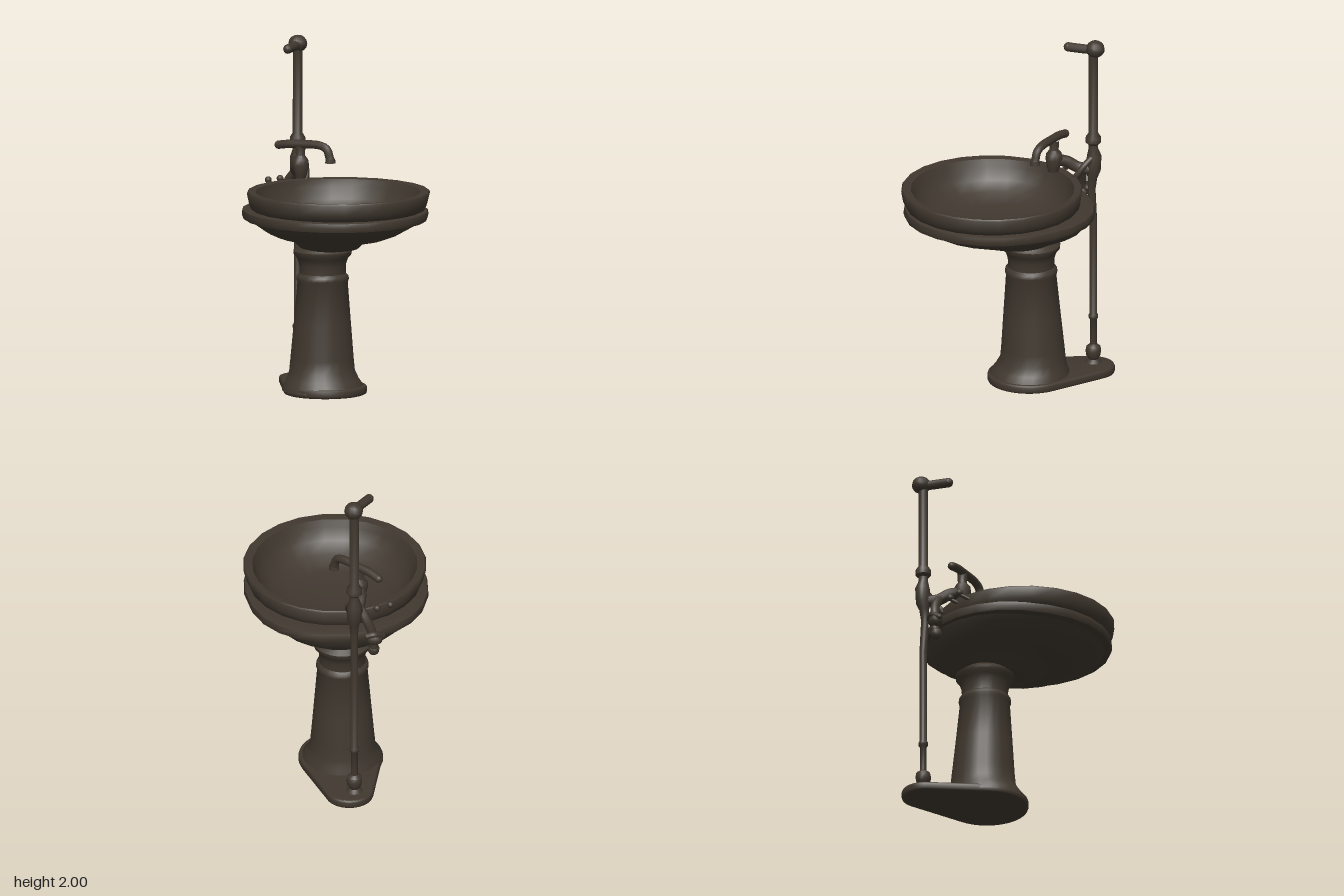
import * as THREE from 'three';
import { toCreasedNormals } from 'three/addons/utils/BufferGeometryUtils.js';

const iron = new THREE.MeshStandardMaterial({ color: 0x40382f });
iron.name = 'dark iron';

// Skin over stacked rounded rings: [y, centre z, radius x, radius z, roundness power]
function loft(rings, cx = 0, sides = 24, crease = 0.8) {
  const pos = [], idx = [];
  const bend = (v, p) => Math.sign(v) * Math.abs(v) ** (2 / p);
  for (const [y, cz, rx, rz = rx, p = 2] of rings) {
    for (let j = 0; j < sides; j++) {
      const a = (j / sides) * Math.PI * 2, s = Math.sin(a);
      const q = s < 0 ? p : 2; // only the back is squared off
      pos.push(cx + rx * bend(Math.cos(a), q), y, cz + rz * bend(s, q));
    }
  }
  for (let i = 0; i < rings.length - 1; i++) {
    for (let j = 0; j < sides; j++) {
      const k = (j + 1) % sides, a = i * sides + j, b = i * sides + k;
      idx.push(a, a + sides, b, b, a + sides, b + sides);
    }
  }
  const g = new THREE.BufferGeometry();
  g.setAttribute('position', new THREE.Float32BufferAttribute(pos, 3));
  g.setIndex(idx);
  return toCreasedNormals(g, crease);
}

export function createModel() {
  const model = new THREE.Group();
  model.name = 'drinkingFountain';

  const add = (name, geometry, parent = model) => {
    const m = new THREE.Mesh(geometry, iron);
    m.name = name;
    parent.add(m);
    return m;
  };
  const ball = (name, parent, p, r, s = [1, 1, 1]) => {
    const m = add(name, new THREE.SphereGeometry(r, 12, 8), parent);
    m.position.set(...p);
    m.scale.set(...s);
    return m;
  };
  // Bent round bar with rounded ends
  const bar = (name, parent, points, r) => {
    const pts = points.map(p => new THREE.Vector3(...p));
    const curve = new THREE.CatmullRomCurve3(pts, false, 'centripetal');
    add(name, new THREE.TubeGeometry(curve, 6 * points.length, r, 10), parent);
    ball(name + 'Start', parent, points[0], r);
    ball(name + 'End', parent, points[points.length - 1], r);
  };

  // Foot plate: wide round front tapering to a small round lobe at the back
  const foot = new THREE.Shape();
  const tilt = Math.asin((0.225 - 0.125) / 0.37);
  foot.absarc(0, 0.115, 0.225, Math.PI - tilt, Math.PI * 2 + tilt, false);
  foot.absarc(0, 0.485, 0.125, tilt, Math.PI - tilt, false);
  foot.closePath();
  const plate = new THREE.ExtrudeGeometry(foot, {
    depth: 0.025, bevelThickness: 0.012, bevelSize: 0.012, bevelSegments: 2, curveSegments: 14,
  });
  plate.rotateX(-Math.PI / 2).translate(0, 0.012, 0);
  add('footPlate', toCreasedNormals(plate, 0.8));

  // Pedestal with flared foot, waist collar and capital
  add('pedestal', loft([
    [0.02, -0.12, 0.235], [0.045, -0.12, 0.23], [0.085, -0.13, 0.205], [0.13, -0.14, 0.187],
    [0.2, -0.14, 0.18], [0.4, -0.135, 0.163], [0.64, -0.13, 0.143], [0.655, -0.13, 0.15],
    [0.675, -0.13, 0.147], [0.69, -0.13, 0.132], [0.74, -0.13, 0.133], [0.78, -0.13, 0.147],
    [0.8, -0.13, 0.165], [0.82, -0.13, 0.167], [0.832, -0.13, 0.15], [0.86, -0.12, 0.12],
  ], -0.01));

  // Basin: underside, outer ring, groove, rim and hollow bowl
  const basin = new THREE.Group();
  basin.name = 'basin';
  model.add(basin);
  add('basinUnderside', loft([
    [0.835, -0.1, 0, 0], [0.835, -0.08, 0.12, 0.14], [0.85, -0.05, 0.165, 0.2],
    [0.885, -0.05, 0.2, 0.24], [0.905, -0.03, 0.23, 0.3], [0.92, -0.01, 0.31, 0.37, 2.1],
    [0.95, 0.015, 0.375, 0.43, 2.2], [1.0, 0.05, 0.45, 0.49, 2.2], [1.03, 0.06, 0.475, 0.51, 2.2],
  ], 0, 24), basin);
  add('basinRing', loft([
    [1.025, 0.07, 0.47, 0.49, 2.2], [1.03, 0.07, 0.515, 0.535, 2.25], [1.055, 0.07, 0.525, 0.543, 2.25],
    [1.08, 0.07, 0.52, 0.535, 2.25], [1.09, 0.08, 0.49, 0.505, 2.2], [1.092, 0.09, 0.45, 0.46],
  ], 0, 24, 0.7), basin);
  add('basinRim', loft([
    [1.08, 0.1, 0.47, 0.475], [1.095, 0.105, 0.495, 0.495], [1.125, 0.108, 0.508, 0.507],
    [1.185, 0.11, 0.522, 0.515], [1.195, 0.11, 0.515, 0.508], [1.19, 0.105, 0.47, 0.465],
    [1.15, 0.1, 0.452, 0.452], [1.08, 0.1, 0.42, 0.42], [1.03, 0.09, 0.36, 0.36],
    [0.99, 0.08, 0.26, 0.26], [0.975, 0.07, 0.12, 0.12], [0.972, 0.06, 0, 0],
  ], 0, 24, 0.9), basin);

  // Standpipe with turned collars, then a ball and a short lever at its head
  const pipe = new THREE.Group();
  pipe.name = 'standpipe';
  model.add(pipe);
  const z = -0.51;
  add('pipe', loft([
    [0.03, z, 0.05], [0.055, z, 0.045], [0.07, z, 0.028], [0.09, z, 0.04], [0.12, z, 0.045],
    [0.145, z, 0.04], [0.16, z, 0.02], [0.31, z, 0.02], [0.32, z, 0.028], [0.335, z, 0.028],
    [0.345, z, 0.021], [0.9, z, 0.022], [1.1, -0.5, 0.022], [1.17, -0.505, 0.028],
    [1.21, -0.51, 0.042], [1.3, -0.515, 0.042], [1.345, z, 0.028], [1.37, z, 0.028],
    [1.385, z, 0.044], [1.415, z, 0.044], [1.44, z, 0.028], [1.9, z, 0.027], [1.95, z, 0.03],
  ], -0.025, 14), pipe);
  ball('pipeHead', pipe, [-0.02, 1.95, -0.52], 0.052, [1.05, 0.95, 1.05]);
  bar('headLever', pipe, [[-0.02, 1.945, -0.515], [-0.07, 1.943, -0.455], [-0.125, 1.941, -0.395]], 0.027);

  // Tap: handle and spout bar on a turned body, joined to the pipe
  const tap = new THREE.Group();
  tap.name = 'tap';
  model.add(tap);
  bar('spout', tap, [[-0.18, 1.395, -0.395], [-0.14, 1.405, -0.345], [-0.08, 1.41, -0.28],
    [0.0, 1.41, -0.19], [0.025, 1.39, -0.155], [0.038, 1.335, -0.137]], 0.024);
  const lip = add('spoutLip', new THREE.CylinderGeometry(0.027, 0.03, 0.025, 10), tap);
  lip.position.set(0.039, 1.328, -0.136);
  add('tapBody', loft([
    [1.215, -0.29, 0], [1.215, -0.29, 0.03], [1.24, -0.29, 0.037], [1.29, -0.295, 0.05],
    [1.32, -0.295, 0.045], [1.345, -0.295, 0.026], [1.4, -0.295, 0.03],
  ], -0.085, 12), tap);
  bar('tapArm', tap, [[-0.085, 1.28, -0.31], [-0.08, 1.265, -0.37], [-0.06, 1.23, -0.43],
    [-0.03, 1.22, -0.49]], 0.033);
  bar('tapBrace', tap, [[-0.01, 1.3, -0.5], [0.0, 1.25, -0.44], [-0.01, 1.2, -0.405],
    [-0.03, 1.17, -0.39]], 0.018);

  // Valve hanging behind the basin
  const valve = new THREE.Group();
  valve.name = 'valve';
  model.add(valve);
  bar('valveElbow', valve, [[-0.07, 1.23, -0.43], [-0.1, 1.17, -0.465], [-0.13, 1.09, -0.48],
    [-0.14, 1.0, -0.48]], 0.026);
  ball('valveBulb', valve, [-0.145, 1.05, -0.48], 0.045, [1.1, 0.9, 0.9]);
  ball('valveTail', valve, [-0.14, 0.975, -0.475], 0.034, [1, 1.1, 1]);
  bar('valveHandle', valve, [[-0.1, 1.08, -0.5], [-0.14, 1.09, -0.505], [-0.19, 1.06, -0.475]], 0.018);

  // Small pegs on the back of the rim
  for (const [x, pz] of [[-0.25, -0.375], [-0.17, -0.4]]) {
    ball('rimPeg', basin, [x, 1.2, pz], 0.02);
    bar('rimPegStem', basin, [[x, 1.19, pz], [x - 0.01, 1.17, pz + 0.04], [x - 0.015, 1.16, pz + 0.06]], 0.011);
  }

  return model;
}
